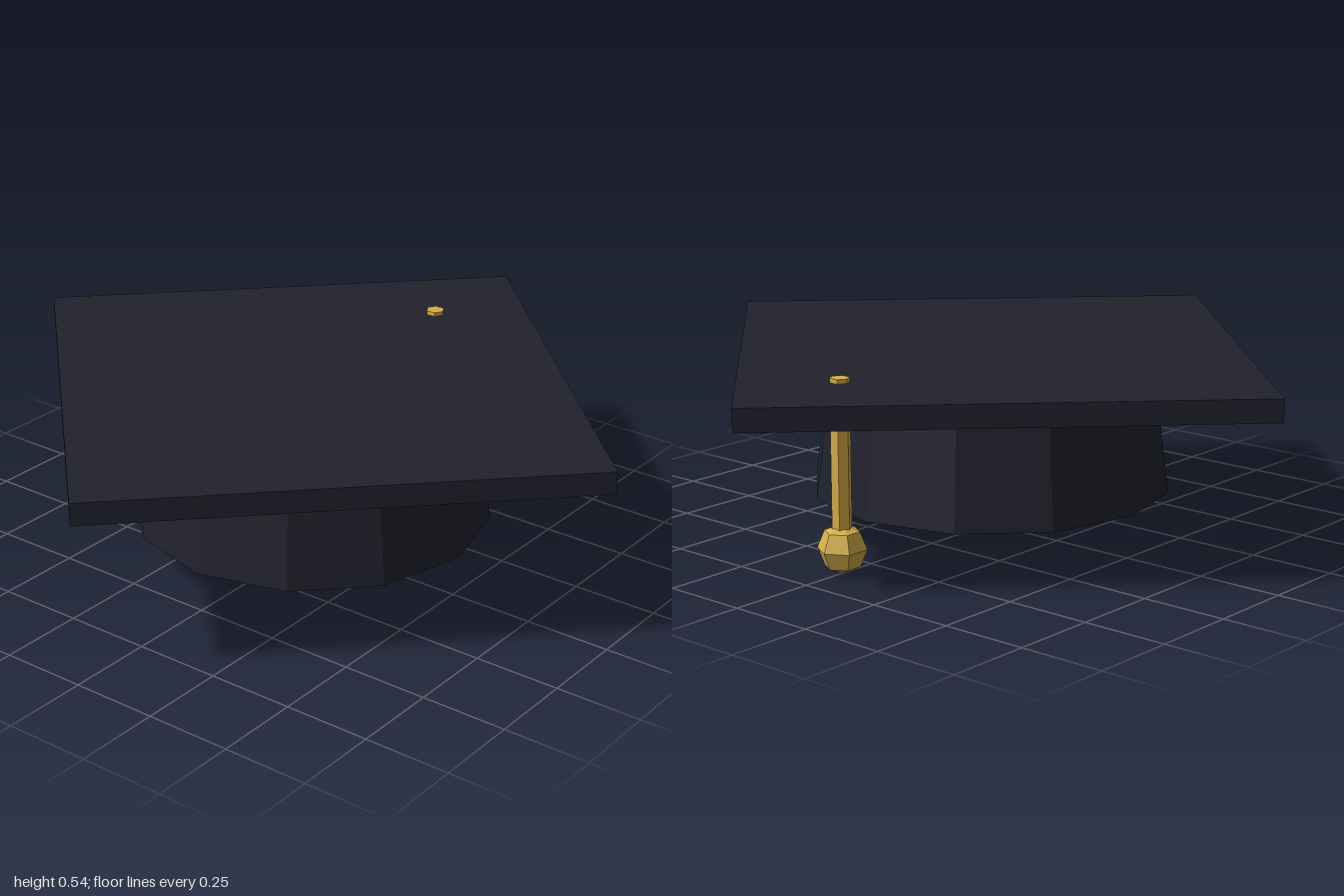
import * as THREE from 'three';

export function createModel() {
  const group = new THREE.Group();
  const cloth = new THREE.MeshStandardMaterial({ color: 0x22222e, flatShading: true });
  cloth.name = 'dark cloth';
  const gold = new THREE.MeshStandardMaterial({ color: 0xd4af48, flatShading: true });
  gold.name = 'gold';

  const add = (name, geometry, material, x, y) => {
    const mesh = new THREE.Mesh(geometry, material);
    mesh.name = name;
    mesh.position.set(x, y, 0);
    group.add(mesh);
    return mesh;
  };

  // Square board, turned so its corners lie on the axes
  const board = add('board', new THREE.BoxGeometry(Math.SQRT2, 0.065, Math.SQRT2), cloth, 0, 0.4985);
  board.rotation.y = Math.PI / 4;

  // Twelve-sided skull cap, slightly wider at the brim
  add('skullCap', new THREE.CylinderGeometry(0.475, 0.517, 0.328, 12), cloth, 0, 0.287);

  // Tassel: cord through the board with a faceted bead at its end
  add('tasselCord', new THREE.CylinderGeometry(0.028, 0.028, 0.47, 6), gold, 0.61, 0.308);
  add('tasselBead', new THREE.SphereGeometry(0.07, 6, 4), gold, 0.61, 0.07);

  return group;
}
